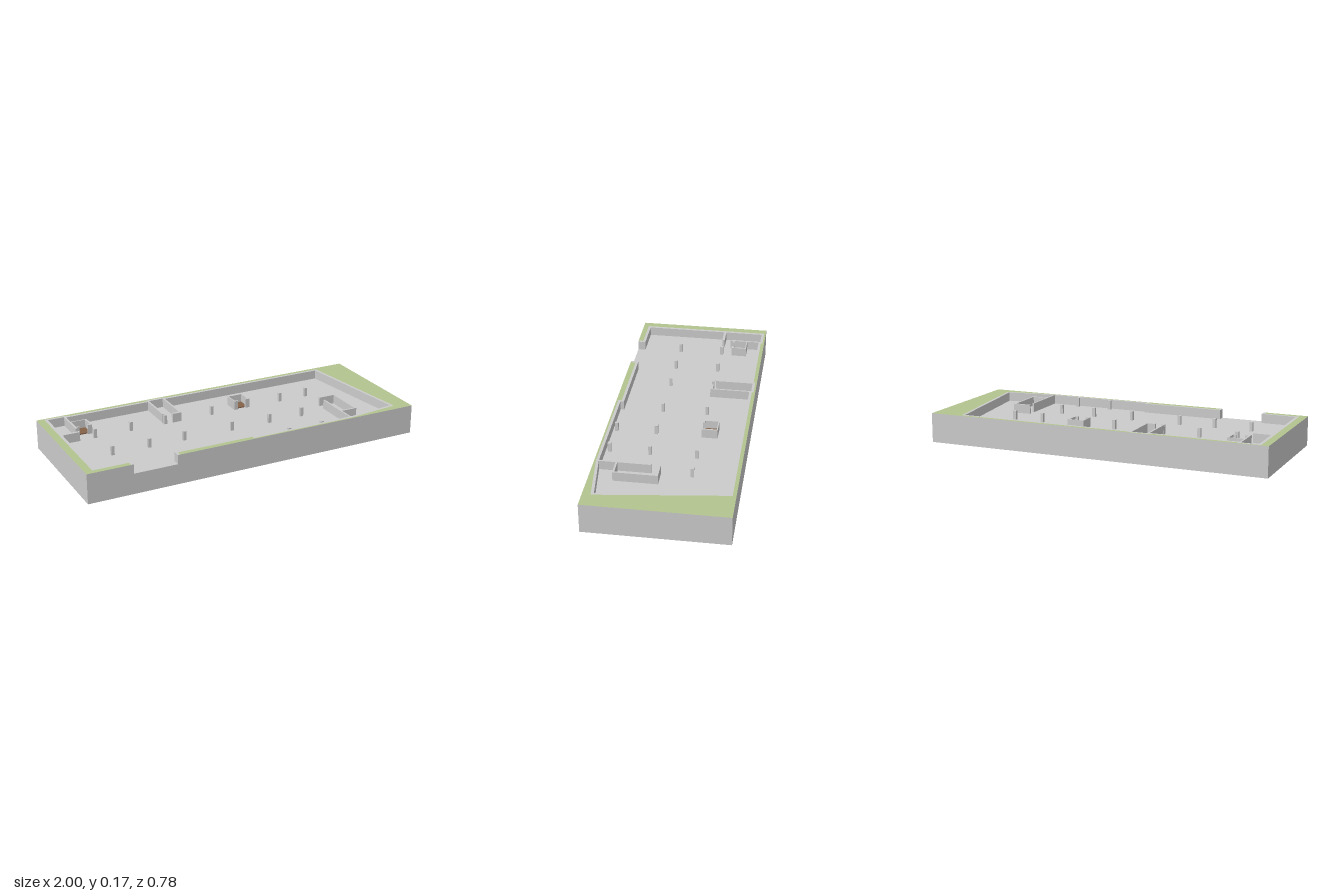
import * as THREE from 'three';

const TOP = 0.17, FLOOR = 0.117;

export function createModel() {
  const group = new THREE.Group();
  const grey = new THREE.MeshStandardMaterial({ color: 0xcccccc, flatShading: true });
  const green = new THREE.MeshStandardMaterial({ color: 0xb2c48f, flatShading: true });
  const brown = new THREE.MeshStandardMaterial({ color: 0x856249, flatShading: true });

  const add = (name, geometry, material, parent = group) => {
    const mesh = new THREE.Mesh(geometry, material);
    mesh.name = name;
    parent.add(mesh);
    return mesh;
  };

  // Box given by its plan rectangle and height range
  const block = (name, x0, x1, z0, z1, y0 = FLOOR, y1 = TOP, material = grey, parent = group) =>
    add(name, new THREE.BoxGeometry(x1 - x0, y1 - y0, z1 - z0), material, parent)
      .position.set((x0 + x1) / 2, (y0 + y1) / 2, (z0 + z1) / 2);

  // Plan outline [x, z] raised from the floor to the top
  const raise = (name, outline, material) => {
    const shape = new THREE.Shape(outline.map(([x, z]) => new THREE.Vector2(x, -z)));
    const geometry = new THREE.ExtrudeGeometry(shape, { depth: TOP - FLOOR, bevelEnabled: false });
    geometry.rotateX(-Math.PI / 2).translate(0, FLOOR, 0);
    return add(name, geometry, material);
  };

  // Ground block under the floor, green below
  block('groundBase', -1, 1, -0.39, 0.39, 0, FLOOR, [grey, grey, grey, green, grey, grey]);

  // Inner and outer faces of the perimeter wall, open at the front entrance
  const inner = [
    [-0.74, 0.39], [-0.74, 0.345], [-0.94, 0.345], [-0.94, -0.365], [-0.84, -0.365], [-0.84, -0.355],
    [-0.322, -0.355], [-0.322, -0.365], [-0.235, -0.365], [-0.235, -0.355], [0.8, -0.355],
    [0.89, 0.33], [0.6, 0.365], [-0.015, 0.365], [-0.015, 0.345], [-0.49, 0.345], [-0.49, 0.39],
  ];
  const outer = [
    [-0.755, 0.39], [-0.755, 0.36], [-0.957, 0.36], [-0.957, -0.38], [-0.825, -0.38], [-0.825, -0.37],
    [-0.337, -0.37], [-0.337, -0.38], [-0.22, -0.38], [-0.22, -0.37], [0.815, -0.37],
    [0.907, 0.344], [0.6, 0.38], [-0.03, 0.38], [-0.03, 0.36], [-0.475, 0.36], [-0.475, 0.39],
  ];
  raise('perimeterWall', [...inner, ...[...outer].reverse()], grey);
  raise('grassSurround', [...outer, [1, 0.39], [1, -0.39], [-1, -0.39], [-1, 0.39]], [green, grey]);

  // Partition walls of the three rooms: x0, x1, z0, z1
  const rooms = {
    cornerRoom: [
      [-0.94, -0.84, -0.142, -0.127], [-0.845, -0.835, -0.365, -0.18],
    ],
    middleRoom: [
      [-0.334, -0.322, -0.356, -0.15], [-0.235, -0.225, -0.356, -0.127], [-0.28, -0.235, -0.142, -0.127],
    ],
    sideRoom: [
      [0.59, 0.6, 0.085, 0.366], [0.59, 0.695, 0.033, 0.045],
      [0.685, 0.695, 0.045, 0.265], [0.6, 0.695, 0.265, 0.275],
    ],
  };
  for (const [name, walls] of Object.entries(rooms)) {
    const room = new THREE.Group();
    room.name = name;
    group.add(room);
    for (const w of walls) block('partitionWall', ...w, FLOOR, TOP, grey, room);
  }

  // Two shafts with a brown floor and a doorway at the front
  for (const [x, z] of [[-0.84, -0.285], [0.118, -0.222]]) {
    const shaft = new THREE.Group();
    shaft.name = 'shaft';
    shaft.position.set(x, 0, z);
    group.add(shaft);
    const wall = (...w) => block('shaftWall', ...w, FLOOR, TOP, grey, shaft);
    wall(0, 0.098, 0, 0.006);
    wall(0, 0.006, 0.006, 0.08);
    wall(0.088, 0.098, 0.006, 0.08);
    wall(0, 0.024, 0.08, 0.09);
    wall(0.072, 0.098, 0.08, 0.09);
    block('shaftFloor', 0.006, 0.088, 0.006, 0.08, FLOOR, FLOOR + 0.006, brown, shaft);
  }

  // Square columns in rows
  const rows = [
    [-0.134, [-0.75, -0.535, -0.325, -0.03, 0.42, 0.597]],
    [0.12, [-0.75, -0.535, -0.325, -0.03, 0.21, 0.42]],
    [0.343, [0.21, 0.42]],
  ];
  const r = 0.009;
  for (const [z, xs] of rows)
    for (const x of xs) block('column', x - r, x + r, z - r, z + r);

  return group;
}
